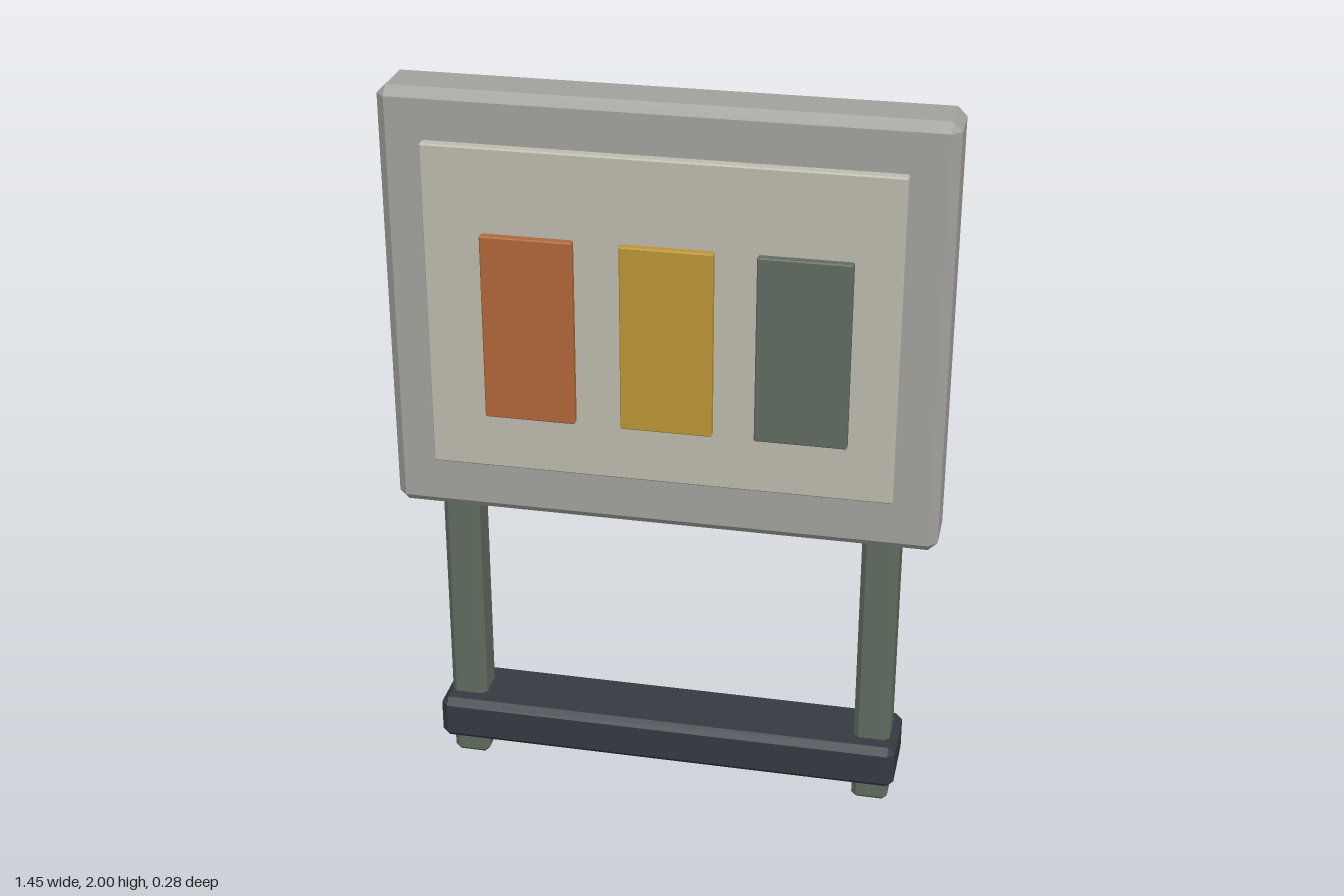
import * as THREE from 'three';
import { ConvexGeometry } from 'three/addons/geometries/ConvexGeometry.js';

const material = (color) => new THREE.MeshStandardMaterial({ color, flatShading: true });

// Box with all edges cut by a single bevel, given by its [min, max] on each axis
function bevelBox(name, x, y, z, bevel, mat) {
  const center = [x, y, z].map(([a, b]) => (a + b) / 2);
  const half = [x, y, z].map(([a, b]) => (b - a) / 2);
  const points = [];
  for (const sx of [-1, 1]) for (const sy of [-1, 1]) for (const sz of [-1, 1]) {
    const s = [sx, sy, sz];
    // each corner becomes three points, one on each adjoining face
    for (let face = 0; face < 3; face++) {
      points.push(new THREE.Vector3(...s.map((k, i) => k * (half[i] - (i === face ? 0 : bevel)))));
    }
  }
  const mesh = new THREE.Mesh(new ConvexGeometry(points), mat);
  mesh.name = name;
  mesh.position.set(...center);
  return mesh;
}

export function createModel() {
  const group = new THREE.Group();
  group.name = 'signBoard';
  const green = material(0x616b5f);

  // Thick board with a raised pale panel
  group.add(bevelBox('board', [-0.725, 0.725], [0.84, 2], [-0.077, 0.09], 0.024, material(0xa2a19d)));
  group.add(bevelBox('displayPanel', [-0.608, 0.608], [0.99, 1.87], [0.085, 0.118], 0.004, material(0xbdbaad)));

  // Three coloured cards on the panel
  const cards = [
    ['leftmostCard', -0.336, material(0xb0673a)],
    ['middleCard', 0.022, material(0xba9535)],
    ['rightmostCard', 0.369, green],
  ];
  for (const [name, x, mat] of cards) {
    group.add(bevelBox(name, [x - 0.119, x + 0.119], [1.145, 1.645], [0.114, 0.14], 0.003, mat));
  }

  // Posts run up into the back of the board
  for (const side of [-1, 1]) {
    const x = side * 0.573;
    group.add(bevelBox(side > 0 ? 'leftPost' : 'rightPost', [x - 0.05, x + 0.05], [0, 1.49], [-0.085, 0.019], 0.014, green));
  }

  // Dark foot bar joining the posts
  group.add(bevelBox('footBar', [-0.643, 0.643], [0.078, 0.205], [-0.14, 0.073], 0.019, material(0x343a41)));

  return group;
}
